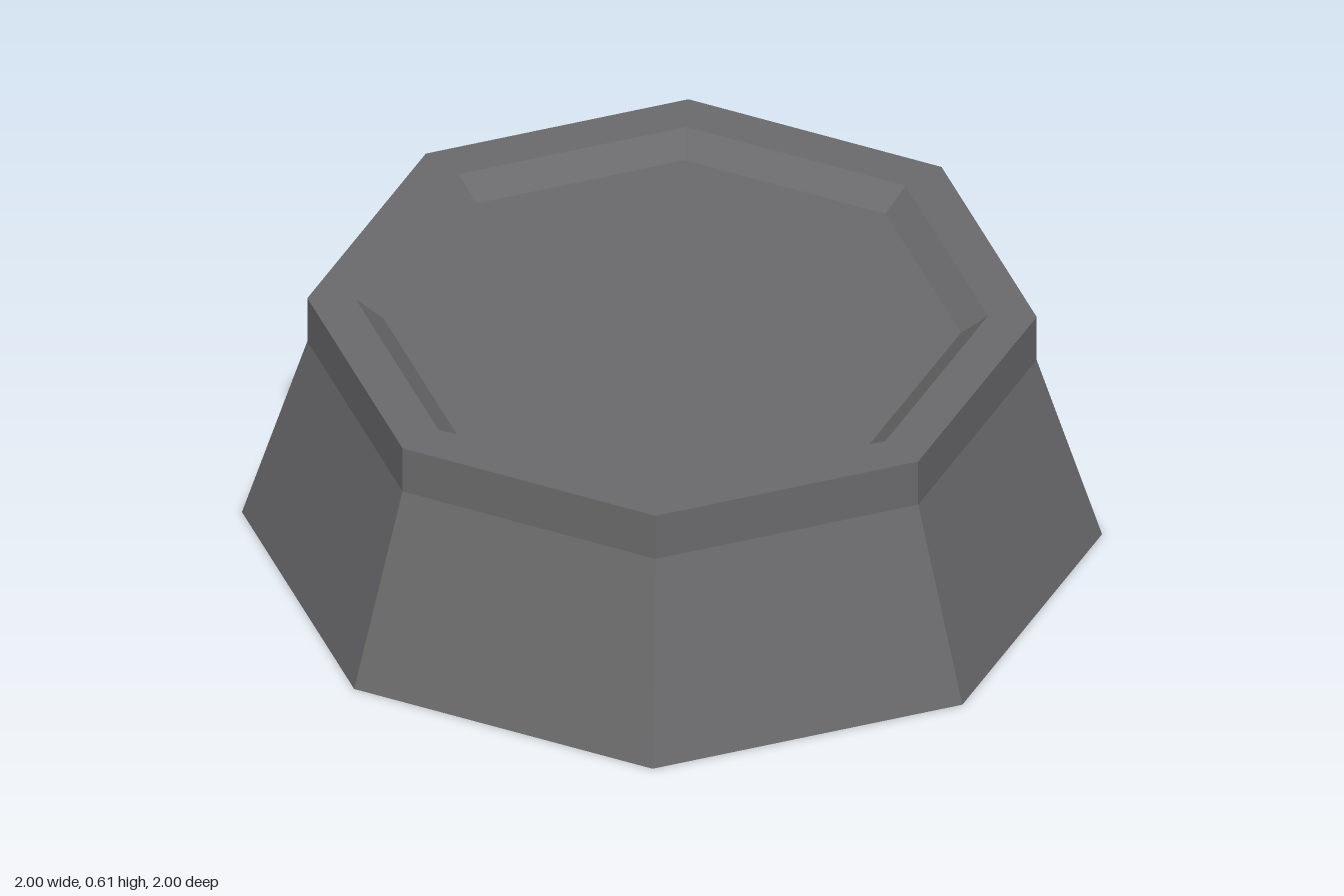
import * as THREE from 'three';

export function createModel() {
  const group = new THREE.Group();
  group.name = 'octagonalPedestal';

  const stone = new THREE.MeshStandardMaterial({ color: 0x6a6a6c });
  stone.name = 'dark grey stone';

  // Eight-sided solid of revolution with faceted normals
  function octagonal(name, profile) {
    const points = profile.map(([r, y]) => new THREE.Vector2(r, y));
    const geometry = new THREE.LatheGeometry(points, 8).toNonIndexed();
    geometry.computeVertexNormals();
    const mesh = new THREE.Mesh(geometry, stone);
    mesh.name = name;
    group.add(mesh);
  }

  // Underside and sloping skirt
  octagonal('taperedBase', [[0, 0], [1, 0], [0.848, 0.488]]);
  // Upright band, flat lip and bevelled inner wall
  octagonal('rim', [[0.848, 0.488], [0.848, 0.61], [0.735, 0.61], [0.672, 0.56]]);
  // Sunken floor
  octagonal('recessedFloor', [[0.672, 0.56], [0, 0.56]]);

  return group;
}
